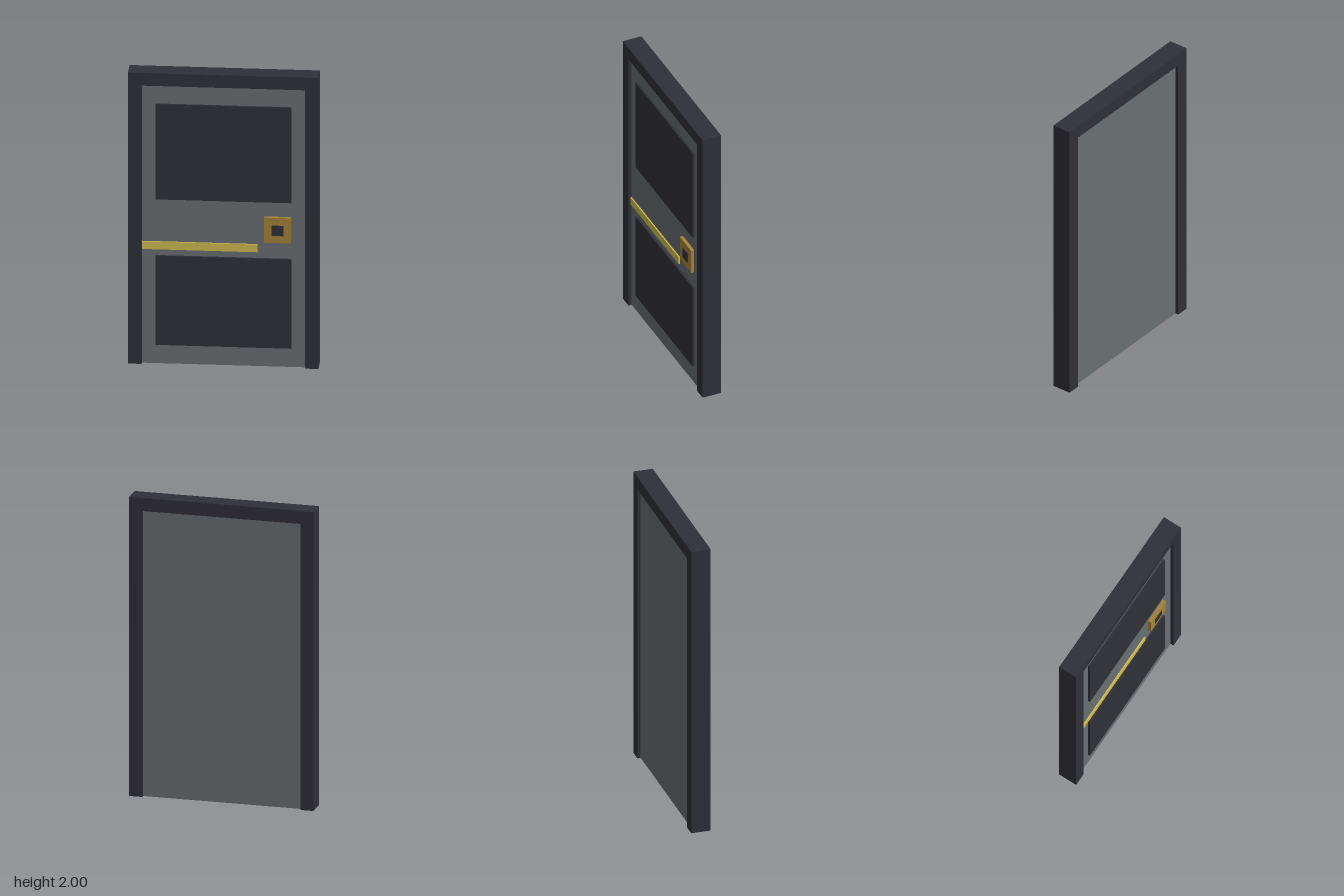
import * as THREE from 'three';

const material = (name, color) => {
  const m = new THREE.MeshStandardMaterial({ color });
  m.name = name;
  return m;
};

export function createModel() {
  const door = new THREE.Group();
  door.name = 'door';

  const dark = material('dark charcoal', 0x2f2f38);
  const grey = material('steel grey', 0x696f73);
  const brass = material('brass', 0xa5823a);
  const yellow = material('yellow', 0xcfbd4f);

  // Box given by its extents along each axis
  const box = (name, mat, [x0, x1], [y0, y1], [z0, z1]) => {
    const mesh = new THREE.Mesh(new THREE.BoxGeometry(x1 - x0, y1 - y0, z1 - z0), mat);
    mesh.position.set((x0 + x1) / 2, (y0 + y1) / 2, (z0 + z1) / 2);
    mesh.name = name;
    door.add(mesh);
  };

  const outer = 0.609, inner = 0.522, top = 1.913;
  const frameZ = [-0.065, 0.065];
  const face = 0.043; // front of the door leaf

  // Frame: two jambs under a full-width lintel
  box('leftJamb', dark, [inner, outer], [0, top], frameZ);
  box('rightJamb', dark, [-outer, -inner], [0, top], frameZ);
  box('lintel', dark, [-outer, outer], [top, 2], frameZ);

  // Door leaf
  box('leaf', grey, [-inner, inner], [0, top], [-face, face]);

  // Raised panels on the front
  box('lowerPanel', dark, [-0.435, 0.435], [0.13, 0.743], [face, face + 0.013]);
  box('upperPanel', dark, [-0.435, 0.435], [1.13, 1.785], [face, face + 0.013]);

  // Stripe across the middle rail
  box('stripe', yellow, [-inner, 0.216], [0.785, 0.838], [face, face + 0.009]);

  // Lock plate with a dark centre
  box('lockPlate', brass, [0.26, 0.433], [0.857, 1.03], [face, face + 0.022]);
  box('lockCentre', dark, [0.31, 0.384], [0.907, 0.977], [face + 0.022, face + 0.026]);

  return door;
}
